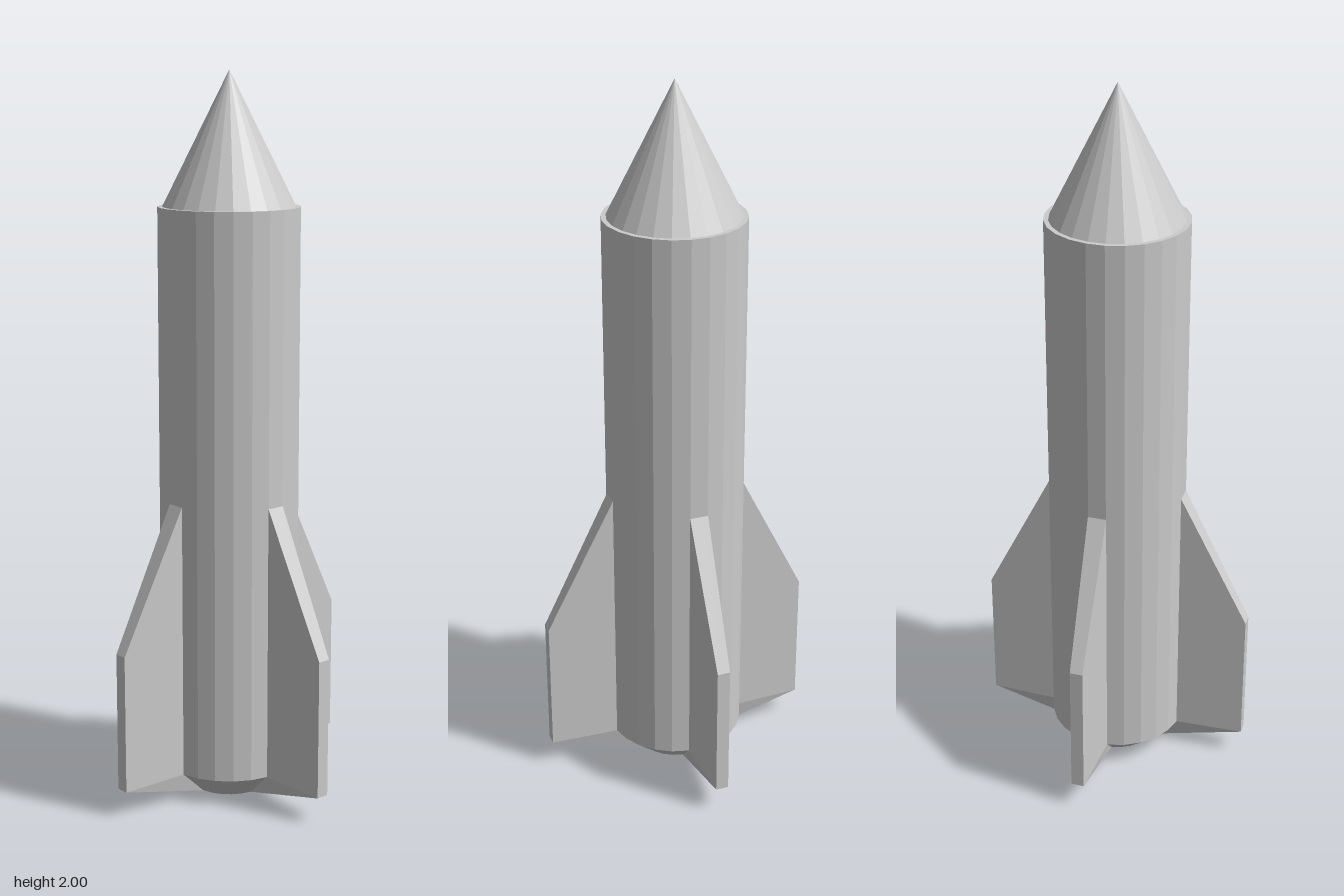
import * as THREE from 'three';

const SIDES = 24;
const material = new THREE.MeshStandardMaterial({ color: 0xcccccc, flatShading: true });

// Faceted solid of revolution with one flat facet centred on each axis
function turned(name, profile) {
  const points = profile.map(([r, y]) => new THREE.Vector2(r, y));
  const mesh = new THREE.Mesh(new THREE.LatheGeometry(points, SIDES, Math.PI / SIDES), material);
  mesh.name = name;
  return mesh;
}

// Fin along +x: outline stations are [radius, height, half thickness]
function finGeometry() {
  const outline = [
    [0.11, 0, 0.0145],
    [0.386, 0.075, 0.018],
    [0.386, 0.462, 0.018],
    [0.19, 0.848, 0.026],
    [0.19, 0.075, 0.026],
  ];
  const n = outline.length;
  const positions = [];
  for (const side of [1, -1]) {
    for (const [r, y, t] of outline) positions.push(r, y, side * t);
  }
  const index = [];
  // Flat sides, split along the line where the tail starts to narrow
  for (const [a, b, c] of [[4, 0, 1], [4, 1, 2], [4, 2, 3]]) {
    index.push(a, b, c, n + a, n + c, n + b);
  }
  // Rim joining the two sides
  for (let i = 0; i < n; i++) {
    const j = (i + 1) % n;
    index.push(i, n + i, n + j, i, n + j, j);
  }
  const geometry = new THREE.BufferGeometry();
  geometry.setAttribute('position', new THREE.Float32BufferAttribute(positions, 3));
  geometry.setIndex(index);
  const flat = geometry.toNonIndexed();
  flat.computeVertexNormals();
  return flat;
}

export function createModel() {
  const rocket = new THREE.Group();
  rocket.name = 'rocket';

  // Tapered tail with a flat base
  rocket.add(turned('tail', [[0, 0], [0.11, 0], [0.193, 0.075]]));

  // Straight body with a narrow shoulder under the nose
  rocket.add(turned('body', [[0.193, 0.075], [0.193, 1.642], [0.18, 1.642]]));

  // Pointed nose
  rocket.add(turned('noseCone', [[0.18, 1.642], [0, 2]]));

  // Four swept fins
  const finShape = finGeometry();
  ['leftFin', 'backFin', 'rightFin', 'frontFin'].forEach((name, i) => {
    const fin = new THREE.Mesh(finShape, material);
    fin.name = name;
    fin.rotation.y = (i * Math.PI) / 2;
    rocket.add(fin);
  });

  return rocket;
}
